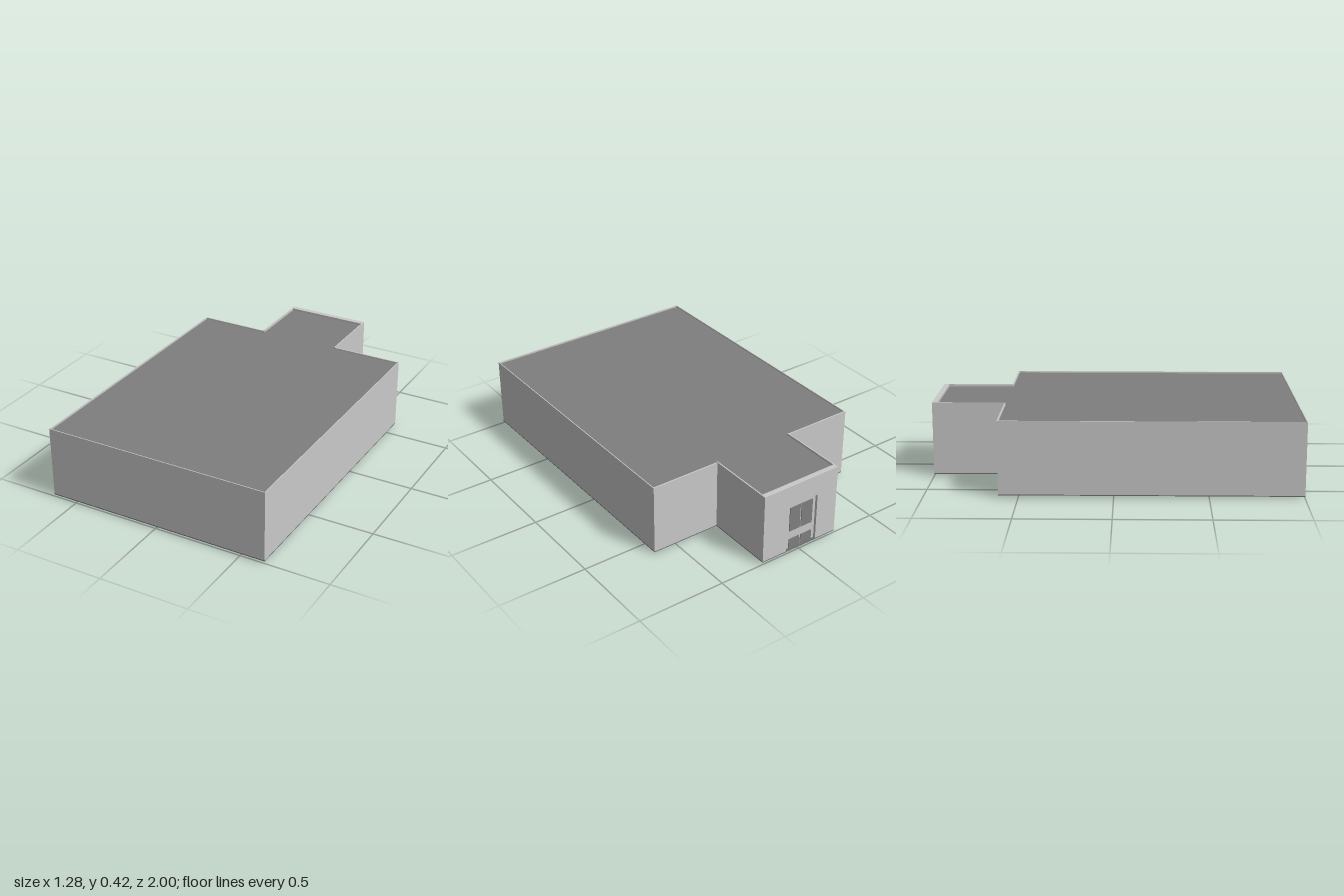
import * as THREE from 'three';

const mat = (name, color) => {
  const m = new THREE.MeshStandardMaterial({ color });
  m.name = name;
  return m;
};

export function createModel() {
  const wall = mat('wall grey', 0xc9c9c9);
  const roofGrey = mat('roof grey', 0x7f7f7f);
  const floorGrey = mat('floor grey', 0x707070);
  const doorGrey = mat('door grey', 0x808080);
  const darkBrown = mat('dark brown', 0x33291a);

  const model = new THREE.Group();
  model.name = 'building';

  // box given by its minimum and maximum on each axis
  const box = (parent, name, material, [x0, x1], [y0, y1], [z0, z1]) => {
    const mesh = new THREE.Mesh(new THREE.BoxGeometry(x1 - x0, y1 - y0, z1 - z0), material);
    mesh.position.set((x0 + x1) / 2, (y0 + y1) / 2, (z0 + z1) / 2);
    mesh.name = name;
    parent.add(mesh);
    return mesh;
  };

  // stepped plan, hall in front and porch behind, as a flat slab
  const slab = (name, material, inset, y, height, backZ) => {
    const w = 0.64 - inset, p = 0.24 - inset, back = -0.605 + inset, front = 1 - inset;
    const plan = new THREE.Shape([
      [-w, front], [w, front], [w, back], [p, back], [p, backZ], [-p, backZ], [-p, back], [-w, back],
    ].map(([x, z]) => new THREE.Vector2(x, -z)));
    const geo = new THREE.ExtrudeGeometry(plan, { depth: height, bevelEnabled: false });
    geo.rotateX(-Math.PI / 2);
    const mesh = new THREE.Mesh(geo, material);
    mesh.position.y = y;
    mesh.name = name;
    model.add(mesh);
  };
  slab('floor', floorGrey, 0, 0.012, 0.005, -1);
  slab('roof', roofGrey, 0.005, 0.39, 0.014, -0.971);

  // thin hall and porch walls rising just above the roof
  const walls = new THREE.Group();
  walls.name = 'walls';
  model.add(walls);
  const hallY = [0.017, 0.413], porchY = [0.017, 0.417];
  box(walls, 'frontWall', wall, [-0.64, 0.64], hallY, [0.995, 1]);
  for (const s of [-1, 1]) {
    const span = (a, b) => (s > 0 ? [a, b] : [-b, -a]);
    box(walls, 'sideWall', wall, span(0.635, 0.64), hallY, [-0.605, 0.995]);
    box(walls, 'backWall', wall, span(0.24, 0.635), hallY, [-0.605, -0.597]);
    box(walls, 'porchSideWall', wall, span(0.233, 0.24), porchY, [-0.97, -0.597]);
  }

  // porch end wall around the doorway
  const doorLeft = 0.085, doorRight = -0.11, doorTop = 0.295;
  box(walls, 'porchEndWall', wall, [doorLeft, 0.24], porchY, [-1, -0.97]);
  box(walls, 'porchEndWall', wall, [-0.24, doorRight], porchY, [-1, -0.97]);
  box(walls, 'lintel', wall, [doorRight, doorLeft], [doorTop, 0.417], [-1, -0.97]);

  // recessed double door: pale leaf, darker panels above and below a rail
  const door = new THREE.Group();
  door.name = 'door';
  model.add(door);
  box(door, 'doorFrame', wall, [doorRight, doorLeft], [0.017, doorTop], [-0.985, -0.97]);
  box(door, 'threshold', darkBrown, [doorRight, doorLeft], [0.008, 0.012], [-0.985, -0.965]);
  for (const [x0, x1] of [[-0.09, -0.017], [-0.009, 0.06]]) {
    box(door, 'upperPanel', doorGrey, [x0, x1], [0.125, 0.272], [-0.989, -0.984]);
    box(door, 'lowerPanel', doorGrey, [x0, x1], [0.02, 0.075], [-0.989, -0.984]);
  }

  // comb-shaped brackets under the floor
  for (const x of [-0.5, 0.485]) {
    const bracket = new THREE.Group();
    bracket.name = 'footBracket';
    model.add(bracket);
    box(bracket, 'spine', darkBrown, [x, x + 0.013], [0, 0.012], [0.36, 0.68]);
    for (const z of [0.36, 0.45, 0.575, 0.667]) {
      box(bracket, 'prong', darkBrown, [x + 0.013, x + 0.085], [0, 0.012], [z, z + 0.013]);
    }
  }
  return model;
}
